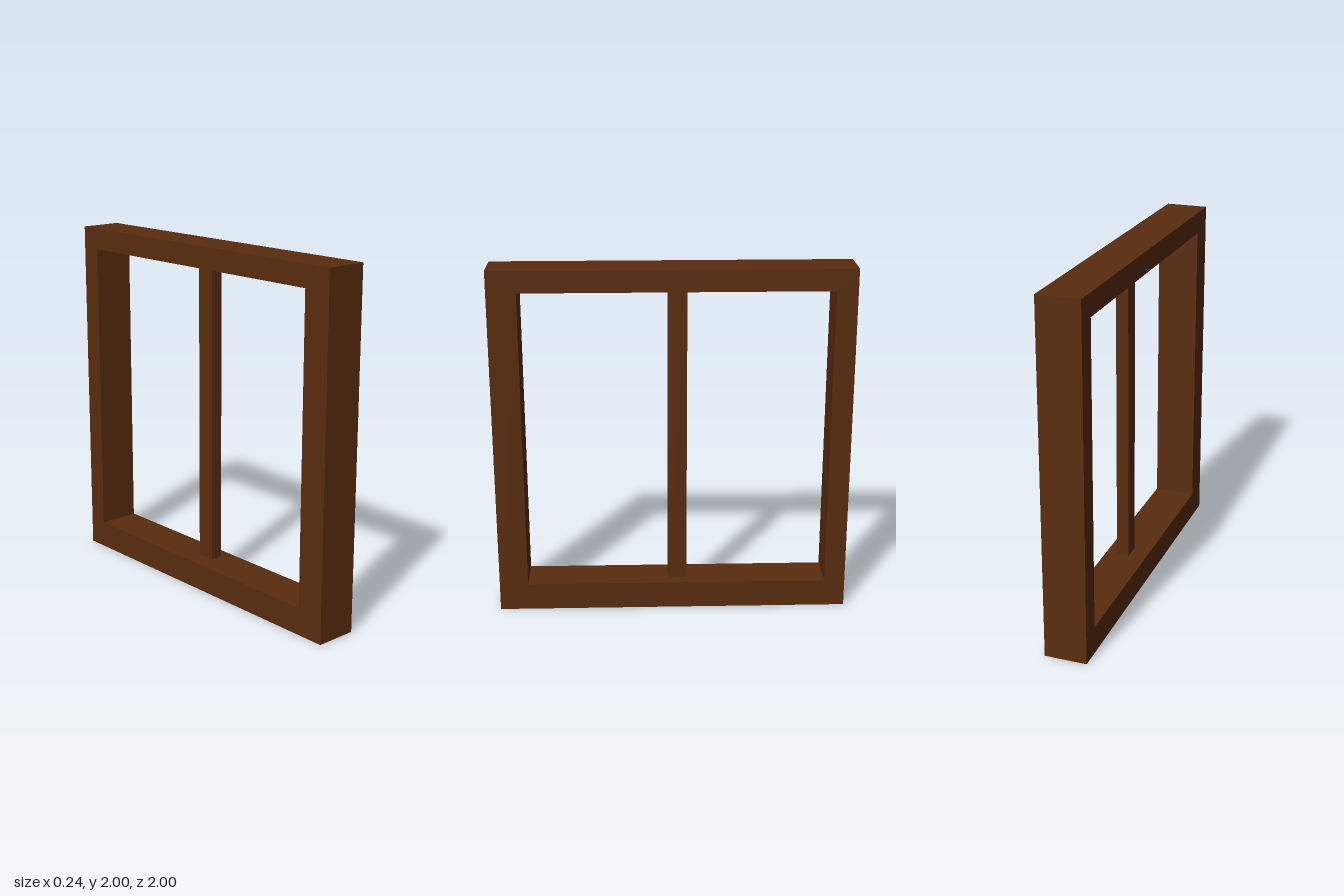
import * as THREE from 'three';

const DEPTH = 0.24;

// Rectangle traced into a Shape or Path, clockwise when reversed
function rect(target, x0, y0, x1, y1) {
  target.moveTo(x0, y0);
  target.lineTo(x1, y0);
  target.lineTo(x1, y1);
  target.lineTo(x0, y1);
  target.closePath();
  return target;
}

export function createModel() {
  const group = new THREE.Group();
  group.name = 'windowFrame';
  const wood = new THREE.MeshStandardMaterial({ color: 0x5a2d0f });
  wood.name = 'dark brown wood';

  // Outer frame: square outline with one off-centre opening, turned to face x
  const outline = rect(new THREE.Shape(), -1, 0, 1, 2);
  outline.holes.push(rect(new THREE.Path(), -0.837, 0.157, 0.882, 1.877));
  const frameGeometry = new THREE.ExtrudeGeometry(outline, { depth: DEPTH, bevelEnabled: false });
  frameGeometry.translate(0, 0, -DEPTH / 2);
  frameGeometry.rotateY(Math.PI / 2);
  const frame = new THREE.Mesh(frameGeometry, wood);
  frame.name = 'outerFrame';
  group.add(frame);

  // Thin upright bar dividing the opening
  const mullion = new THREE.Mesh(new THREE.BoxGeometry(0.071, 1.72, 0.107), wood);
  mullion.position.set(0.018, 1.017, -0.028);
  mullion.name = 'mullion';
  group.add(mullion);

  return group;
}
